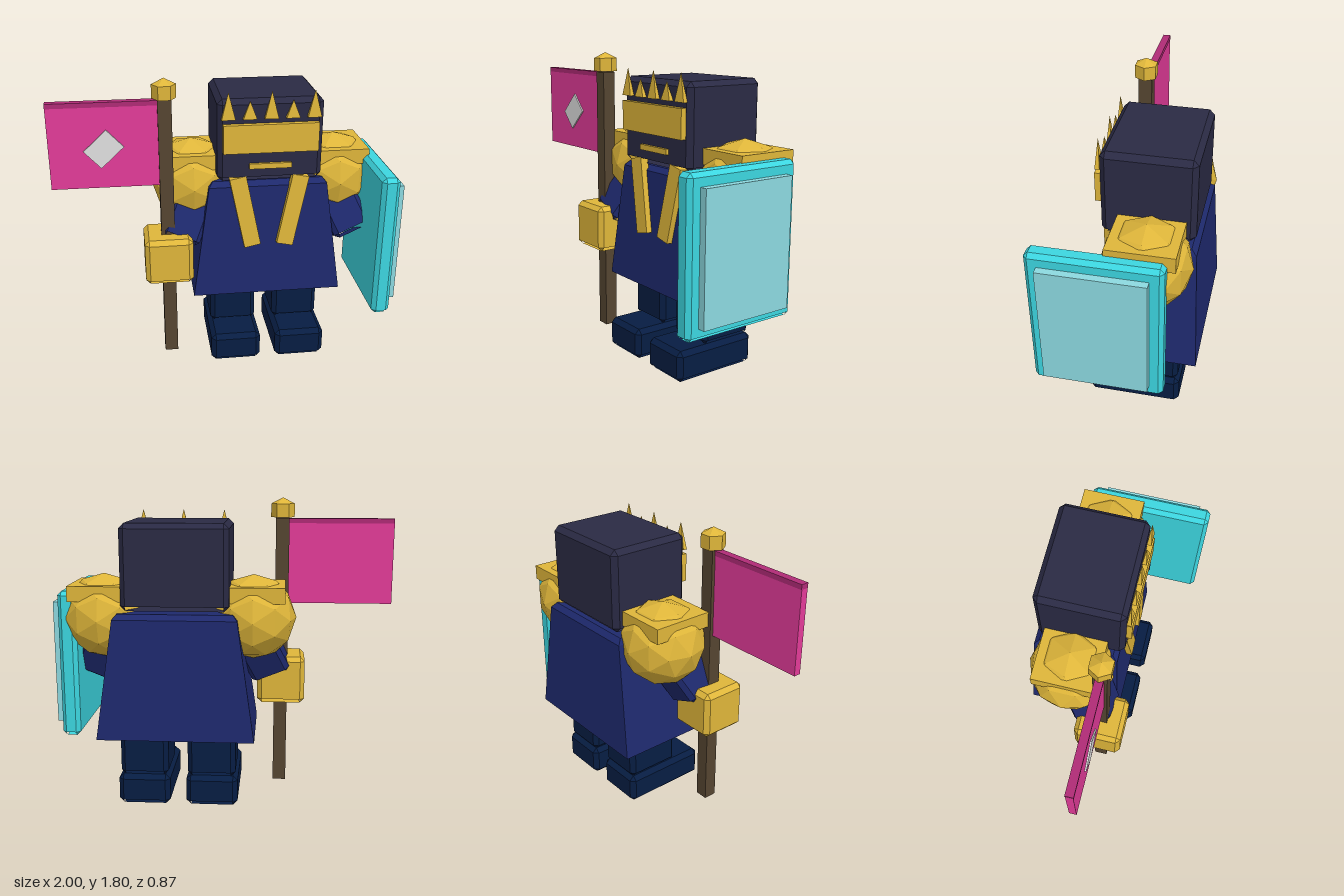
import * as THREE from 'three';

// Several parts are open underneath, so both sides are shown
const mat = (name, color) => {
  const m = new THREE.MeshStandardMaterial({ color, side: THREE.DoubleSide });
  m.name = name;
  return m;
};

// Flat-faced geometry from convex faces, each turned to look away from the origin
function facesToGeometry(faces) {
  const pos = [];
  for (const f of faces) {
    const n = f[1].clone().sub(f[0]).cross(f[2].clone().sub(f[0]));
    const c = new THREE.Vector3();
    f.forEach((v) => c.add(v));
    const o = n.dot(c) < 0 ? [...f].reverse() : f;
    for (let i = 1; i < o.length - 1; i++) {
      for (const v of [o[0], o[i], o[i + 1]]) pos.push(v.x, v.y, v.z);
    }
  }
  const g = new THREE.BufferGeometry();
  g.setAttribute('position', new THREE.Float32BufferAttribute(pos, 3));
  return g;
}

// Box with chamfered edges; the bottom rim is left open
function chamferBox(w, h, d, b) {
  const half = [w / 2, h / 2, d / 2];
  // corner point lying on the face across the given axis
  const p = (s, axis) => new THREE.Vector3(...half.map((e, i) => s[i] * (i === axis ? e : e - b)));
  const faces = [];
  const at = (a, sa, u, su, v, sv) => {
    const s = [0, 0, 0];
    s[a] = sa; s[u] = su; s[v] = sv;
    return s;
  };
  for (let a = 0; a < 3; a++) {
    const u = (a + 1) % 3, v = (a + 2) % 3;
    for (const s of [-1, 1]) {
      faces.push([[-1, -1], [1, -1], [1, 1], [-1, 1]].map(([i, j]) => p(at(a, s, u, i, v, j), a)));
      for (const t of [-1, 1]) {
        if ((u === 1 && s < 0) || (v === 1 && t < 0)) continue;
        const lo = at(a, -1, u, s, v, t), hi = at(a, 1, u, s, v, t);
        faces.push([p(lo, u), p(hi, u), p(hi, v), p(lo, v)]);
      }
    }
  }
  for (const x of [-1, 1]) for (const y of [-1, 1]) for (const z of [-1, 1]) {
    faces.push([0, 1, 2].map((k) => p([x, y, z], k)));
  }
  return facesToGeometry(faces);
}

// Tapering shell, open below, from rectangular sections [y, half width, half depth]
function taperedShell(sections) {
  const rings = sections.map(([y, x, z]) =>
    [[-1, -1], [1, -1], [1, 1], [-1, 1]].map(([i, j]) => new THREE.Vector3(i * x, y, j * z)));
  const faces = [rings[rings.length - 1]];
  for (let r = 0; r < rings.length - 1; r++) {
    for (let i = 0; i < 4; i++) {
      const j = (i + 1) % 4;
      faces.push([rings[r][i], rings[r][j], rings[r + 1][j], rings[r + 1][i]]);
    }
  }
  return facesToGeometry(faces);
}

export function createModel() {
  const gold = mat('gold', 0xdfb63a);
  const robeBlue = mat('robe blue', 0x1e296d);
  const legNavy = mat('leg navy', 0x071d43);
  const helmDark = mat('helmet dark', 0x2a2a44);
  const wood = mat('wood', 0x554531);
  const pink = mat('flag pink', 0xe33b99);
  const darkPink = mat('flag hem', 0xb02b76);
  const silver = mat('silver', 0xe0e0e0);
  const teal = mat('shield teal', 0x3cd6e0);
  const paleTeal = mat('shield panel', 0x8cd9e0);

  const model = new THREE.Group();
  model.name = 'bannerKnight';
  const add = (name, geo, material, x, y, z) => {
    const flat = geo.index ? geo.toNonIndexed() : geo;
    flat.computeVertexNormals();
    const m = new THREE.Mesh(flat, material);
    m.name = name;
    m.position.set(x, y, z);
    model.add(m);
    return m;
  };
  // Fill a box given by its extents, chamfered when b > 0
  const span = (name, material, [x0, x1], [y0, y1], [z0, z1], b = 0) => {
    const s = [x1 - x0, y1 - y0, z1 - z0];
    const geo = b ? chamferBox(...s, b) : new THREE.BoxGeometry(...s);
    return add(name, geo, material, (x0 + x1) / 2, (y0 + y1) / 2, (z0 + z1) / 2);
  };

  const mid = 0.263; // body centre line

  // Body and head
  add('robe', taperedShell([[-0.365, 0.456, 0.285], [0.335, 0.355, 0.25], [0.365, 0.33, 0.22]]),
    robeBlue, mid, 0.805, -0.15);
  span('head', helmDark, [-0.045, 0.572], [1.185, 1.68], [-0.385, 0.13], 0.03);

  // Face plates
  span('visor', gold, [-0.015, 0.54], [1.37, 1.54], [0.12, 0.162]);
  span('mouthSlot', gold, [0.14, 0.388], [1.268, 1.3], [0.12, 0.148]);

  // Crown spikes
  for (let i = 0; i < 5; i++) {
    const h = i % 2 ? 0.105 : 0.16;
    const spike = new THREE.ConeGeometry(0.057, h, 4).rotateY(Math.PI / 4).scale(1, 1, 0.33);
    add('crownSpike', spike, gold, mid + (i - 2) * 0.124, 1.57 + h / 2, 0.143);
  }

  for (const s of [-1, 1]) {
    const side = s < 0 ? 'right' : 'left';
    const x = (d) => mid + s * d;

    // Legs and feet
    add(side + 'Leg', chamferBox(0.285, 0.34, 0.345, 0.027), legNavy, x(0.2), 0.35, -0.142);
    add(side + 'Foot', chamferBox(0.308, 0.185, 0.545, 0.028), legNavy, x(0.202), 0.0925, -0.053);

    // Collar straps
    add(side + 'Strap', new THREE.BoxGeometry(0.1, 0.445, 0.05), gold, x(0.143), 0.99, 0.118)
      .rotation.set(-0.05, 0, -s * 0.204);

    // Shoulder armour: faceted ball with a square plate
    add(side + 'Pauldron', new THREE.IcosahedronGeometry(0.25, 1), gold, x(0.44), 1.125, -0.15);
    add(side + 'PauldronPlate', new THREE.BoxGeometry(0.365, 0.09, 0.37), gold, x(0.44), 1.275, -0.15);

    // Arms reach out and forward from the shoulders
    const from = new THREE.Vector3(x(0.4), 1.09, -0.12);
    const to = new THREE.Vector3(x(0.545), 0.78, 0.03);
    const dir = from.clone().sub(to);
    const c = from.clone().add(to).multiplyScalar(0.5);
    add(side + 'Arm', chamferBox(0.24, dir.length(), 0.24, 0.027), robeBlue, c.x, c.y, c.z)
      .quaternion.setFromUnitVectors(new THREE.Vector3(0, 1, 0), dir.normalize());
  }

  // Right hand gripping the banner pole
  span('rightHand', gold, [-0.485, -0.198], [0.573, 0.86], [-0.075, 0.213], 0.027);
  span('pole', wood, [-0.38, -0.3], [0.04, 1.685], [0.03, 0.11]);
  add('finialBase', new THREE.CylinderGeometry(0.07, 0.07, 0.08, 6).rotateY(Math.PI / 6), gold, -0.34, 1.73, 0.07);
  add('finialTip', new THREE.ConeGeometry(0.07, 0.036, 6).rotateY(Math.PI / 6), gold, -0.34, 1.787, 0.07);

  // Flag with hem and diamond
  span('flag', pink, [-1, -0.378], [1.175, 1.655], [0.05, 0.092]);
  span('flagHem', darkPink, [-1, -0.378], [1.655, 1.683], [0.048, 0.094]);
  add('flagDiamond', new THREE.BoxGeometry(0.182, 0.142, 0.009), silver, -0.69, 1.41, 0.0965)
    .rotation.z = THREE.MathUtils.degToRad(43);

  // Shield on the left arm
  span('shield', teal, [0.85, 0.957], [0.41, 1.282], [-0.29, 0.437], 0.024);
  span('shieldPanel', paleTeal, [0.95, 1], [0.48, 1.21], [-0.215, 0.367]);

  return model;
}
